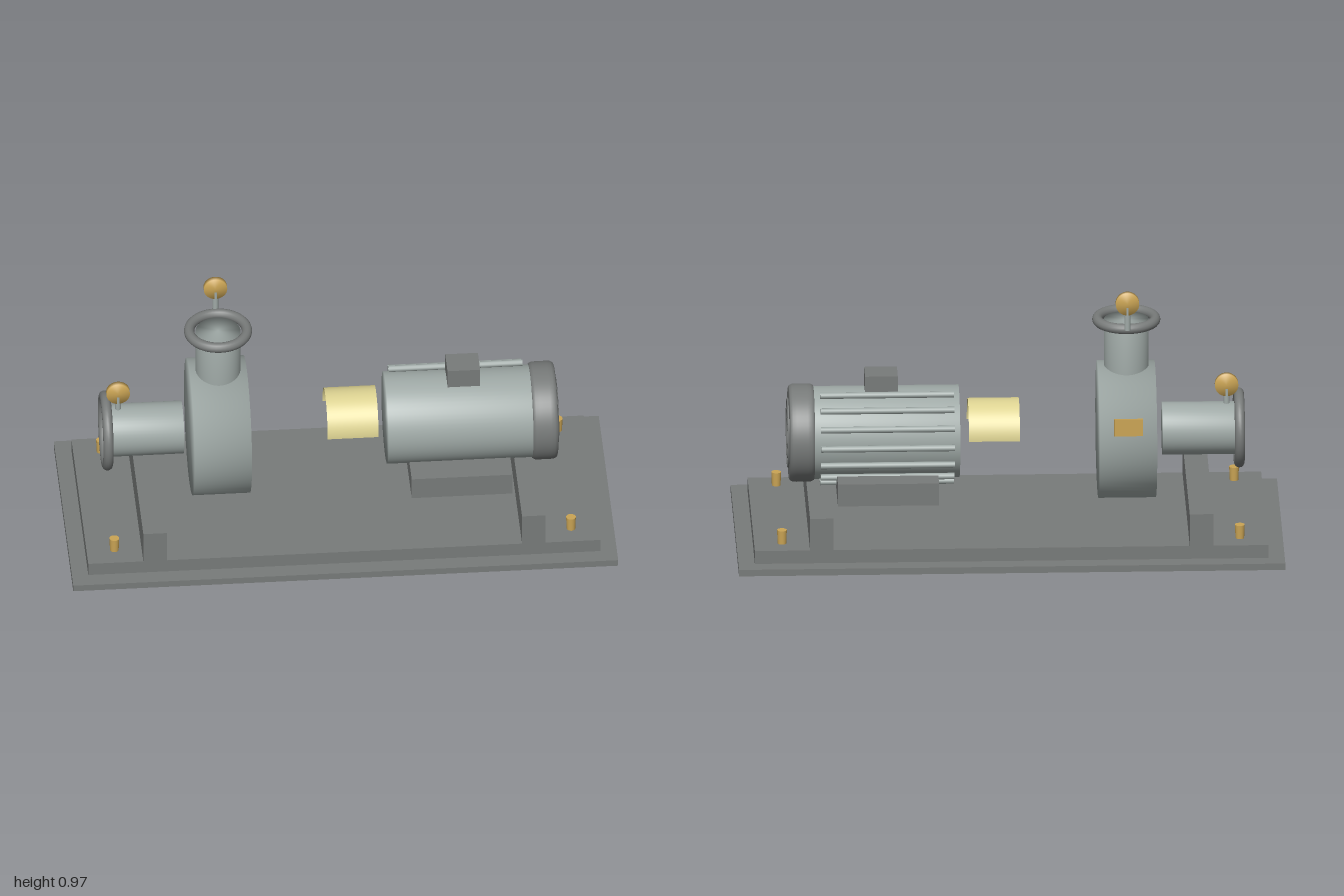
import * as THREE from 'three';
import { mergeVertices } from 'three/addons/utils/BufferGeometryUtils.js';

const mat = (name, color, side = THREE.FrontSide) => {
  const m = new THREE.MeshStandardMaterial({ color, side });
  m.name = name;
  return m;
};

export function createModel() {
  const castGrey = mat('castGrey', 0xa0aaa7);
  const darkSteel = mat('darkSteel', 0x787b7a);
  const brass = mat('brass', 0xcba555);
  const guardYellow = mat('guardYellow', 0xddd392, THREE.DoubleSide);

  const model = new THREE.Group();
  model.name = 'pumpUnit';

  const add = (parent, name, geometry, material, x = 0, y = 0, z = 0) => {
    const mesh = new THREE.Mesh(geometry, material);
    mesh.name = name;
    mesh.position.set(x, y, z);
    parent.add(mesh);
    return mesh;
  };
  const group = (name) => {
    const g = new THREE.Group();
    g.name = name;
    model.add(g);
    return g;
  };
  // box given by its limits
  const box = (parent, name, material, x0, x1, y0, y1, z0, z1) =>
    add(parent, name, new THREE.BoxGeometry(x1 - x0, y1 - y0, z1 - z0), material,
      (x0 + x1) / 2, (y0 + y1) / 2, (z0 + z1) / 2);
  // cylinder along an axis, with its normals blended over the rim when soft
  const cylinder = (r, length, axis, soft = true, sides = 48) => {
    let g = new THREE.CylinderGeometry(r, r, length, sides);
    if (soft) {
      g.deleteAttribute('normal');
      g.deleteAttribute('uv');
      g = mergeVertices(g, 1e-5);
      g.computeVertexNormals();
    }
    if (axis === 'x') g.rotateZ(-Math.PI / 2);
    if (axis === 'z') g.rotateX(Math.PI / 2);
    return g;
  };

  // base frame with cross bars and anchor bolts
  const base = group('base');
  box(base, 'basePlate', darkSteel, -1, 1, 0, 0.025, -0.45, 0.45);
  box(base, 'plinth', darkSteel, -0.94, 0.94, 0.025, 0.075, -0.388, 0.388);
  for (const s of [-1, 1]) {
    box(base, 'crossBar', darkSteel, s * 0.695 - 0.043, s * 0.695 + 0.043, 0.075, 0.198, -0.388, 0.388);
    for (const t of [-1, 1])
      add(base, 'anchorBolt', new THREE.CylinderGeometry(0.018, 0.016, 0.052, 16), brass, s * 0.838, 0.101, t * 0.307);
  }

  // pump casing and its two flanged pipes
  const axisY = 0.392, pumpX = -0.433;
  const pump = group('pump');
  add(pump, 'casing', cylinder(0.252, 0.21, 'x', true, 64), castGrey, pumpX, axisY);
  add(pump, 'dischargePipe', cylinder(0.082, 0.38, 'y'), castGrey, pumpX, 0.63);
  const topFlange = add(pump, 'dischargeFlange', new THREE.TorusGeometry(0.106, 0.019, 14, 48), darkSteel, pumpX, 0.82);
  topFlange.rotation.x = Math.PI / 2;
  add(pump, 'suctionPipe', cylinder(0.097, 0.28, 'x'), castGrey, -0.704, axisY);
  const sideFlange = add(pump, 'suctionFlange', new THREE.TorusGeometry(0.128, 0.019, 14, 48), darkSteel, -0.845, axisY);
  sideFlange.rotation.y = Math.PI / 2;
  box(pump, 'namePlate', brass, -0.485, -0.38, 0.458, 0.524, -0.26, -0.254);

  // pressure gauges on stems
  const gauge = (name, x, z, y0, y1) => {
    const g = group(name);
    add(g, 'gaugeStem', cylinder(0.011, y1 - y0, 'y', false, 16), castGrey, x, (y0 + y1) / 2, z);
    add(g, 'gaugeDial', cylinder(0.043, 0.02, 'z', true, 32), brass, x, y1 + 0.014, z);
  };
  gauge('dischargeGauge', pumpX, -0.122, 0.822, 0.911);
  gauge('suctionGauge', -0.8, 0, 0.46, 0.546);

  // open half-round coupling guard
  const guard = new THREE.CylinderGeometry(0.12, 0.12, 0.187, 32, 1, true, 0, Math.PI);
  guard.rotateZ(Math.PI / 2);
  add(model, 'couplingGuard', guard, guardYellow, 0.0535, axisY);

  // motor body, foot and terminal box
  const motor = group('motor');
  add(motor, 'motorBody', cylinder(0.17, 0.54, 'x', true, 64), castGrey, 0.45, axisY);
  box(motor, 'motorFoot', darkSteel, 0.26, 0.63, 0.185, 0.27, -0.225, 0.225);
  box(motor, 'terminalBox', darkSteel, 0.405, 0.525, 0.53, 0.626, -0.053, 0.053);

  // cooling fins round the back half
  for (let i = 1; i <= 8; i++) {
    const a = (i * Math.PI) / 8;
    add(motor, 'coolingFin', cylinder(0.012, 0.49, 'x', false, 12), castGrey,
      0.445, axisY + 0.182 * Math.cos(a), -0.182 * Math.sin(a));
  }

  // fan cover with rounded rims and grille rings
  const profile = [[0, -0.047], [0.166, -0.047], [0.174, -0.044], [0.179, -0.034], [0.18, -0.02],
    [0.18, 0.02], [0.179, 0.034], [0.174, 0.044], [0.166, 0.047], [0, 0.047]]
    .map(([r, y]) => new THREE.Vector2(r, y));
  const cover = new THREE.LatheGeometry(profile, 64);
  cover.rotateZ(-Math.PI / 2);
  add(motor, 'fanCover', cover, darkSteel, 0.757, axisY);
  for (const r of [0.055, 0.09, 0.123]) {
    const ring = add(motor, 'grilleRing', new THREE.TorusGeometry(r, 0.006, 10, 48), darkSteel, 0.804, axisY);
    ring.rotation.y = Math.PI / 2;
  }
  return model;
}
